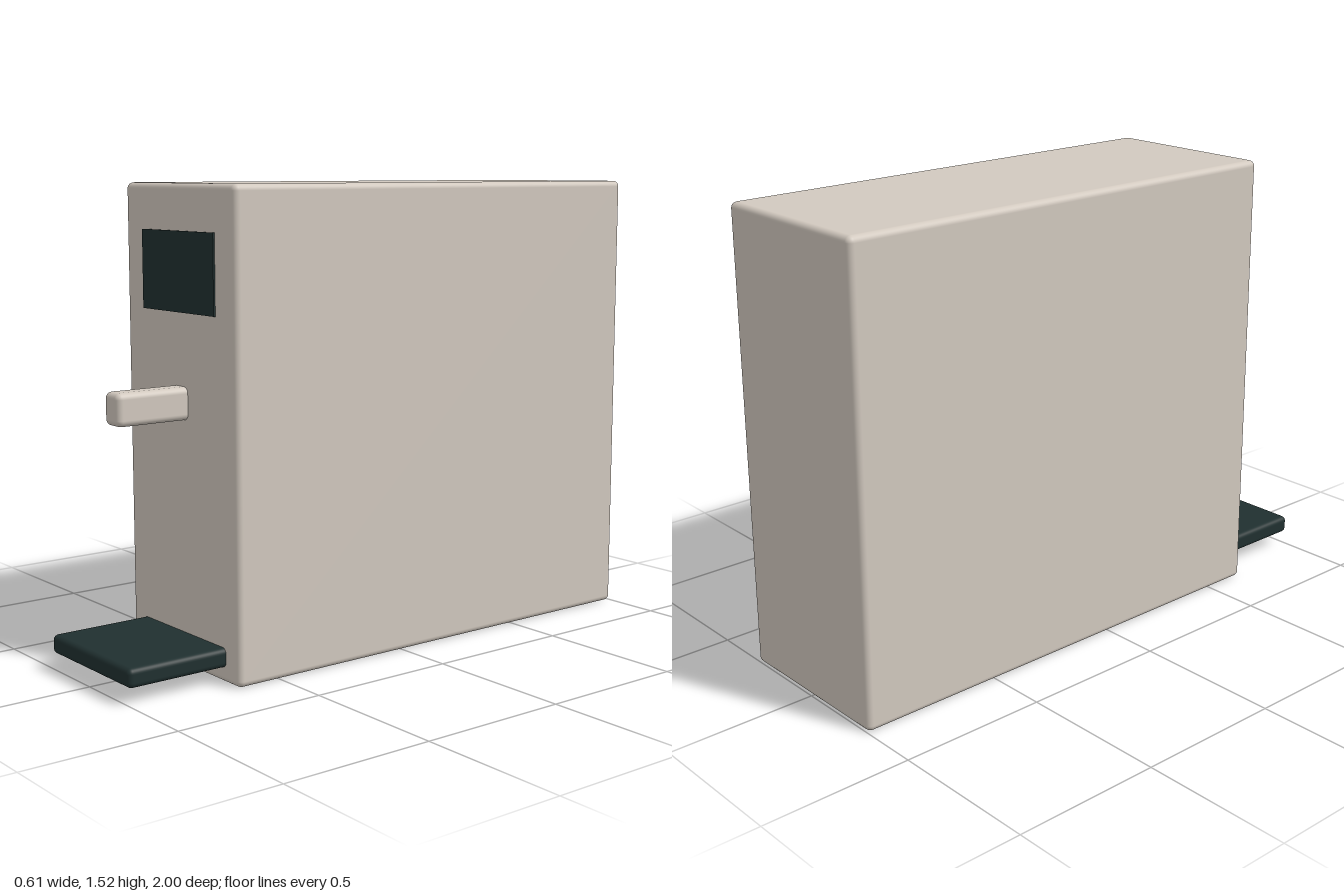
import * as THREE from 'three';
import { RoundedBoxGeometry } from 'three/addons/geometries/RoundedBoxGeometry.js';

const shell = new THREE.MeshStandardMaterial({ color: 0xd2c9bf });
shell.name = 'warm grey shell';
const dark = new THREE.MeshStandardMaterial({ color: 0x203030 });
dark.name = 'dark teal plastic';

// Box spanning the given ranges, with rounded edges when a radius is set
function block(name, material, [x0, x1], [y0, y1], [z0, z1], radius = 0) {
  const size = [x1 - x0, y1 - y0, z1 - z0];
  const geometry = radius
    ? new RoundedBoxGeometry(...size, 4, radius)
    : new THREE.BoxGeometry(...size);
  const mesh = new THREE.Mesh(geometry, material);
  mesh.name = name;
  mesh.position.set((x0 + x1) / 2, (y0 + y1) / 2, (z0 + z1) / 2);
  return mesh;
}

export function createModel() {
  const model = new THREE.Group();
  model.name = 'dispenser';
  model.add(
    // Tall, deep housing
    block('housing', shell, [-0.307, 0.307], [0, 1.525], [-1, 0.656], 0.02),
    // Thin display plate on the front
    block('display', dark, [-0.2, 0.2], [1.13, 1.38], [0.654, 0.662]),
    // Spout, rooted inside the housing
    block('spout', shell, [-0.042, 0.042], [0.796, 0.9], [0.6, 0.905], 0.02),
    // Drip tray, rooted inside the housing
    block('dripTray', dark, [-0.236, 0.236], [0.05, 0.112], [0.6, 1], 0.018),
  );
  return model;
}
